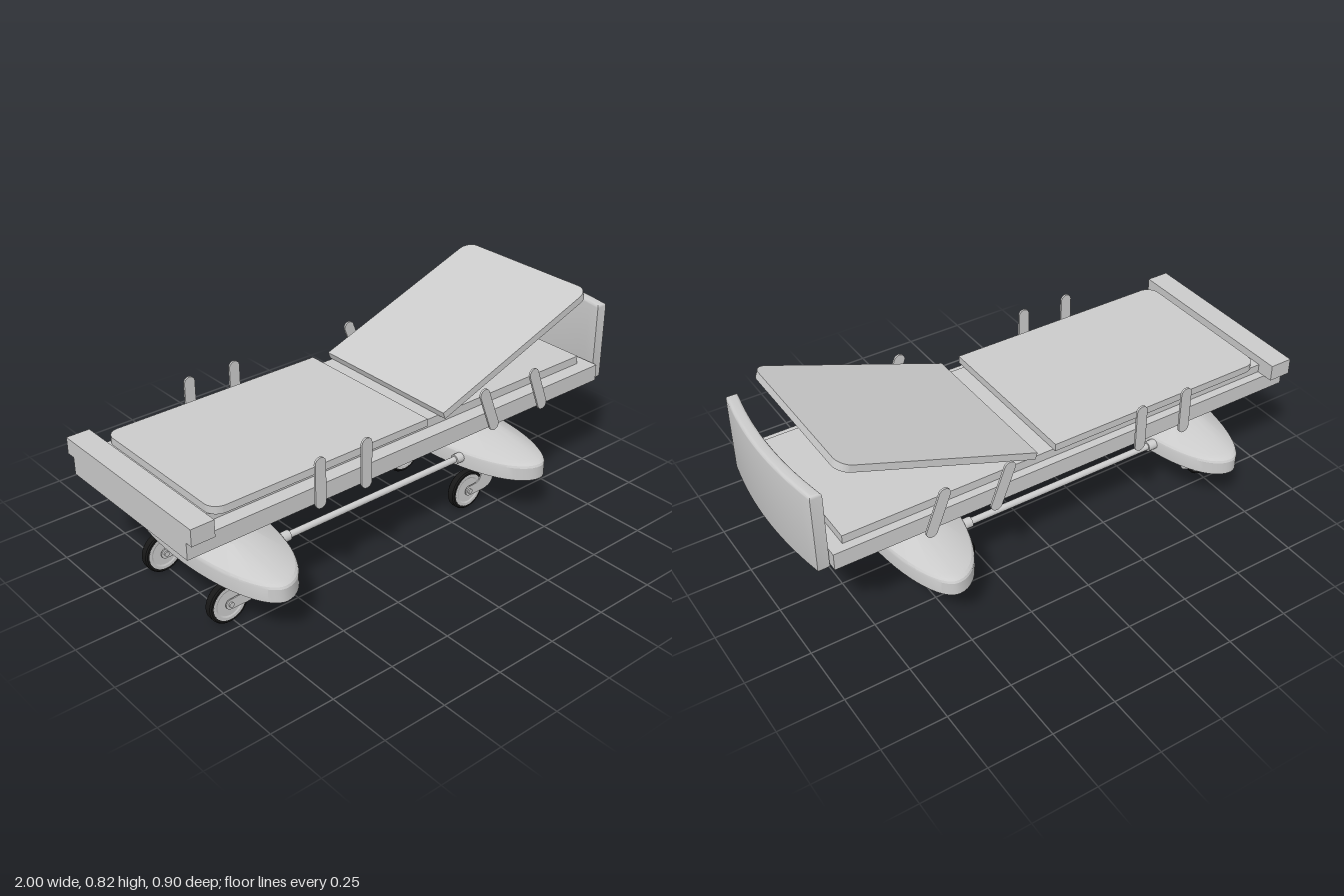
import * as THREE from 'three';
import { toCreasedNormals } from 'three/addons/utils/BufferGeometryUtils.js';

const grey = new THREE.MeshStandardMaterial({ color: 0xcccccc });
const blue = new THREE.MeshStandardMaterial({ color: 0x233a80, side: THREE.DoubleSide });
const black = new THREE.MeshStandardMaterial({ color: 0x181818 });
const V = (x, y) => new THREE.Vector2(x, y);

function add(parent, name, geometry, x = 0, y = 0, z = 0, material = grey) {
  const mesh = new THREE.Mesh(geometry, material);
  mesh.name = name;
  mesh.position.set(x, y, z);
  parent.add(mesh);
  return mesh;
}

// Box given by its limits on each axis
function slab(parent, name, x0, x1, y0, y1, z0, z1) {
  return add(parent, name, new THREE.BoxGeometry(x1 - x0, y1 - y0, z1 - z0),
    (x0 + x1) / 2, (y0 + y1) / 2, (z0 + z1) / 2);
}

// Flat cushion starting at x = 0, rounded at its far end
function cushion(length, width, thick, r) {
  const h = width / 2;
  const s = new THREE.Shape();
  s.moveTo(0, -h);
  s.lineTo(length - r, -h);
  s.absarc(length - r, -h + r, r, -Math.PI / 2, 0);
  s.absarc(length - r, h - r, r, 0, Math.PI / 2);
  s.lineTo(0, h);
  const g = new THREE.ExtrudeGeometry(s, { depth: thick, bevelEnabled: false, curveSegments: 8 });
  return toCreasedNormals(g.rotateX(-Math.PI / 2), 0.6);
}

// Curved headboard: an arc-shaped band extruded upwards
function headboard() {
  const bevel = 0.012, half = 0.322 - bevel, sag = 0.03, n = 16;
  const outer = [], inner = [];
  for (let i = 0; i <= n; i++) {
    const t = (i / n) * 2 - 1;
    const x = 1 - bevel - sag * t * t;
    outer.push(V(x, t * half));
    inner.unshift(V(x - 0.021, t * half));
  }
  const g = new THREE.ExtrudeGeometry(new THREE.Shape([...outer, ...inner]), {
    depth: 0.32 - 2 * bevel, bevelThickness: bevel, bevelSize: bevel, bevelSegments: 4,
  });
  return toCreasedNormals(g.rotateX(-Math.PI / 2).translate(0, 0.42 + bevel, 0), 0.7);
}

// Thin stadium-shaped side rail
function railGeometry() {
  const r = 0.0225, l = 0.075;
  const s = new THREE.Shape();
  s.absarc(0, l, r, 0, Math.PI);
  s.absarc(0, -l, r, Math.PI, Math.PI * 2);
  const g = new THREE.ExtrudeGeometry(s, { depth: 0.008, bevelEnabled: false, curveSegments: 12 });
  return toCreasedNormals(g.translate(0, 0, -0.004), 0.6);
}

// Egg-shaped foot: a lathe stretched in z, and deeper towards the middle of the bed
function footGeometry(inward) {
  const profile = [V(0, 0.19), V(1, 0.19), V(1, 0.242), V(0.99, 0.25), V(0.965, 0.257), V(0.92, 0.262),
    V(0.5, 0.3), V(0, 0.3)];
  const g = new THREE.LatheGeometry(profile, 64);
  const p = g.attributes.position;
  for (let i = 0; i < p.count; i++) {
    const x = p.getX(i);
    p.setXYZ(i, x * (x * inward > 0 ? 0.19 : 0.14), p.getY(i), p.getZ(i) * 0.45);
  }
  return toCreasedNormals(g, 0.35);
}

// Pleated oval bellows
function bellowsGeometry() {
  const pleats = 9, y0 = 0.298, h = 0.134, pts = [];
  for (let i = 0; i < pleats; i++) {
    pts.push(V(0.068, y0 + (h * i) / pleats), V(0.1, y0 + (h * (i + 0.5)) / pleats));
  }
  pts.push(V(0.068, y0 + h));
  return toCreasedNormals(new THREE.LatheGeometry(pts, 40).scale(1, 1, 1.77), 0.5);
}

function forkGeometry() {
  const s = new THREE.Shape();
  s.moveTo(-0.045, 0.17);
  s.quadraticCurveTo(-0.045, 0.105, -0.075, 0.102);
  s.lineTo(-0.11, 0.1);
  s.absarc(-0.11, 0.08, 0.02, Math.PI / 2, Math.PI * 1.5);
  s.lineTo(-0.04, 0.06);
  s.quadraticCurveTo(0.018, 0.065, 0.018, 0.11);
  s.lineTo(0.018, 0.17);
  const g = new THREE.ExtrudeGeometry(s, { depth: 0.005, bevelEnabled: false, curveSegments: 10 });
  return toCreasedNormals(g.translate(0, 0, -0.0025), 0.6);
}

// Swivel caster trailing towards -x
function caster() {
  const c = new THREE.Group();
  c.name = 'caster';
  add(c, 'swivelPlate', new THREE.CylinderGeometry(0.066, 0.066, 0.011, 32), 0, 0.172, 0);
  add(c, 'swivelStem', new THREE.CylinderGeometry(0.025, 0.025, 0.025, 20), 0, 0.184, 0);
  slab(c, 'forkBridge', -0.045, 0.018, 0.161, 0.169, -0.024, 0.024);
  for (const side of [-1, 1]) add(c, 'forkArm', forkGeometry(), 0, 0, side * 0.0225);
  const tyre = new THREE.LatheGeometry([V(0.062, -0.012), V(0.066, -0.017), V(0.075, -0.017), V(0.08, -0.012),
    V(0.08, 0.012), V(0.075, 0.017), V(0.066, 0.017), V(0.062, 0.012)], 40).rotateX(Math.PI / 2);
  add(c, 'tyre', toCreasedNormals(tyre, 0.6), -0.11, 0.08, 0, black);
  const hub = new THREE.LatheGeometry([V(0, -0.015), V(0.05, -0.015), V(0.056, -0.0175), V(0.067, -0.0175),
    V(0.067, 0.0175), V(0.056, 0.0175), V(0.05, 0.015), V(0, 0.015)], 40).rotateX(Math.PI / 2);
  add(c, 'wheelHub', toCreasedNormals(hub, 0.3), -0.11, 0.08, 0);
  add(c, 'axle', new THREE.CylinderGeometry(0.01, 0.01, 0.062, 16).rotateX(Math.PI / 2), -0.11, 0.08, 0);
  return c;
}

export function createModel() {
  const bed = new THREE.Group();
  bed.name = 'adjustableBed';

  // Frame, platform and boards
  slab(bed, 'frame', -1, 0.92, 0.43, 0.496, -0.348, 0.342);
  slab(bed, 'platform', -0.91, 0.87, 0.496, 0.529, -0.315, 0.285);
  slab(bed, 'footBoard', -1, -0.91, 0.496, 0.56, -0.385, 0.372);
  add(bed, 'headboard', headboard());

  // Leg section lies flat, back section is raised
  const legs = add(bed, 'legSection', cushion(0.92, 0.65, 0.029, 0.05), 0.04, 0.529, -0.004);
  legs.rotation.y = Math.PI;
  const back = add(bed, 'backSection', cushion(0.79, 0.65, 0.028, 0.05), 0.125, 0.528, -0.004);
  back.rotation.z = THREE.MathUtils.degToRad(20);

  // Side rails, the head pair leaning with the back section
  const rail = railGeometry();
  for (const z of [-0.386, 0.373]) {
    for (const [x, lean] of [[-0.49, 0], [-0.29, 0], [0.295, 0.37], [0.55, 0.37]]) {
      add(bed, 'sideRail', rail, x, 0.528, z).rotation.z = lean;
    }
  }

  // Lifting columns on their feet, with casters
  const columns = [
    { x: -0.695, inward: 1, casterX: -0.655, casterZ: [0.195, -0.206] },
    { x: 0.512, inward: -1, casterX: 0.48, casterZ: [0.195, -0.173] },
  ];
  for (const { x, inward, casterX, casterZ } of columns) {
    add(bed, 'foot', footGeometry(inward), x);
    add(bed, 'bellows', bellowsGeometry(), x, 0, 0, blue);
    for (const z of casterZ) {
      const c = caster();
      c.position.set(casterX, 0, z);
      bed.add(c);
    }
  }

  // Rods joining the two feet
  for (const z of [-0.19, 0.19]) {
    add(bed, 'rod', new THREE.CylinderGeometry(0.013, 0.013, 0.86, 16).rotateZ(Math.PI / 2), -0.09, 0.23, z);
    for (const x of [-0.51, 0.33]) {
      add(bed, 'rodCollar', new THREE.CylinderGeometry(0.02, 0.02, 0.04, 16).rotateZ(Math.PI / 2), x, 0.23, z);
    }
  }
  return bed;
}
